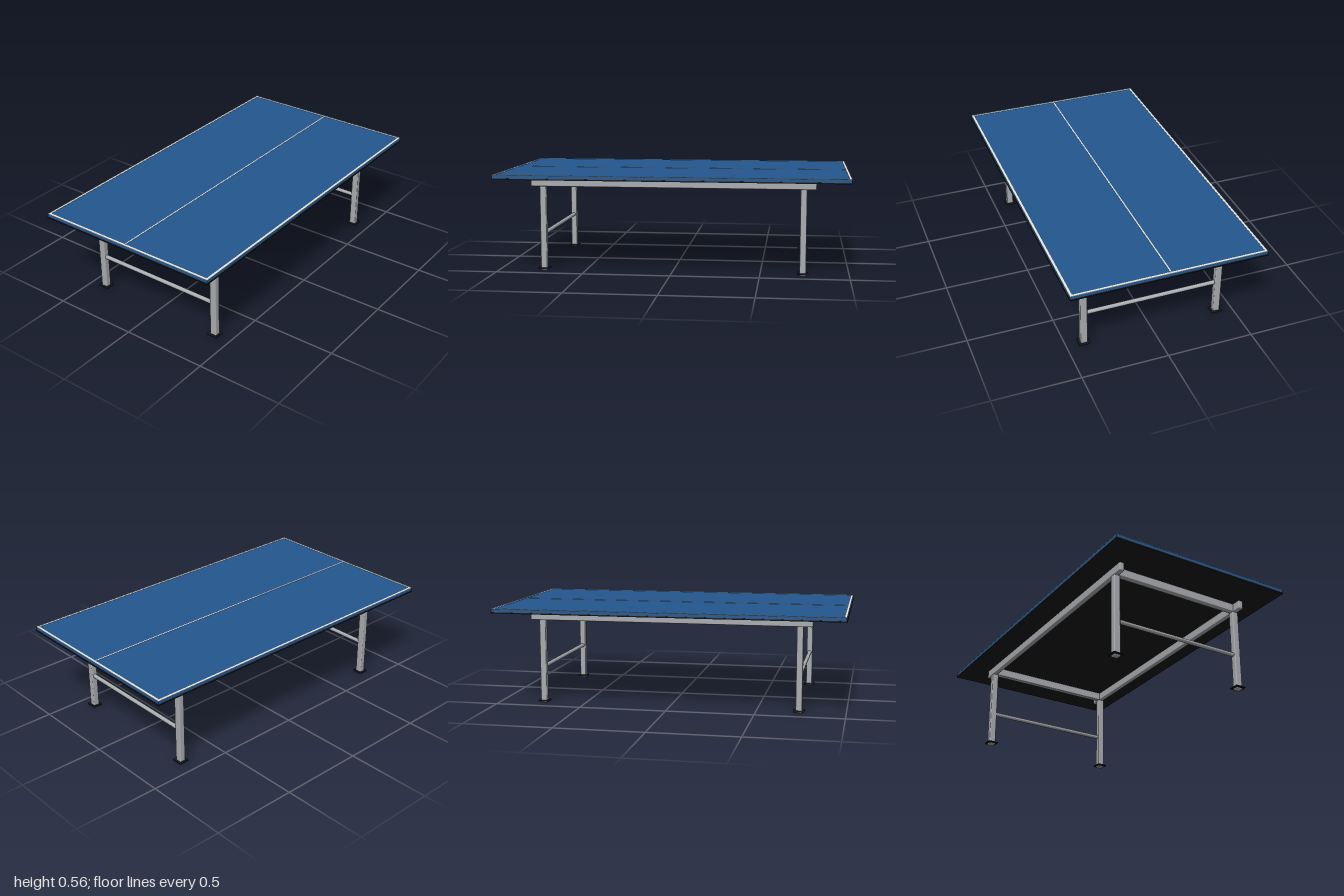
import * as THREE from 'three';
import { RoundedBoxGeometry } from 'three/addons/geometries/RoundedBoxGeometry.js';

const mat = (name, color) => {
  const m = new THREE.MeshStandardMaterial({ color });
  m.name = name;
  return m;
};

export function createModel() {
  const group = new THREE.Group();
  const blue = mat('blue surface', 0x24588f);
  const white = mat('line white', 0xe6e6e2);
  const black = mat('black', 0x17191c);
  const metal = mat('grey metal', 0xa9acb0);

  const add = (name, geometry, material, x, y, z) => {
    const mesh = new THREE.Mesh(geometry, material);
    mesh.name = name;
    mesh.position.set(x, y, z);
    group.add(mesh);
    return mesh;
  };
  const box = (name, material, w, h, d, x, y, z) =>
    add(name, new THREE.BoxGeometry(w, h, d), material, x, y, z);
  const tube = (name, w, h, d, x, y, z) =>
    add(name, new RoundedBoxGeometry(w, h, d, 2, 0.006), metal, x, y, z);

  // Table top on a dark backing board
  box('tableTop', blue, 1.994, 0.018, 1.108, 0, 0.551, 0);
  box('backingBoard', black, 2, 0.007, 1.112, 0, 0.5385, 0);

  // Painted lines
  box('centreLine', white, 1.96, 0.002, 0.008, 0, 0.5605, 0);
  for (const s of [-1, 1]) {
    box('sideLine', white, 1.994, 0.002, 0.014, 0, 0.5605, s * 0.547);
    box('endLine', white, 0.014, 0.002, 1.08, s * 0.99, 0.5605, 0);
  }

  // Long rails under the top
  for (const z of [-0.402, 0.402]) tube('longRail', 1.62, 0.051, 0.03, 0, 0.5105, z);

  // Leg frames
  for (const x of [-0.74, 0.74]) {
    tube('crossRail', 0.034, 0.05, 0.78, x, 0.51, 0);
    const brace = add('lowerBrace', new THREE.CylinderGeometry(0.012, 0.012, 0.77, 16), metal, x, 0.213, 0);
    brace.rotation.x = Math.PI / 2;
    for (const z of [-0.4, 0.4]) {
      tube('leg', 0.036, 0.486, 0.04, x, 0.243, z);
      add('foot', new RoundedBoxGeometry(0.062, 0.008, 0.064, 2, 0.003), black, x, 0.012, z);
    }
  }
  return group;
}
